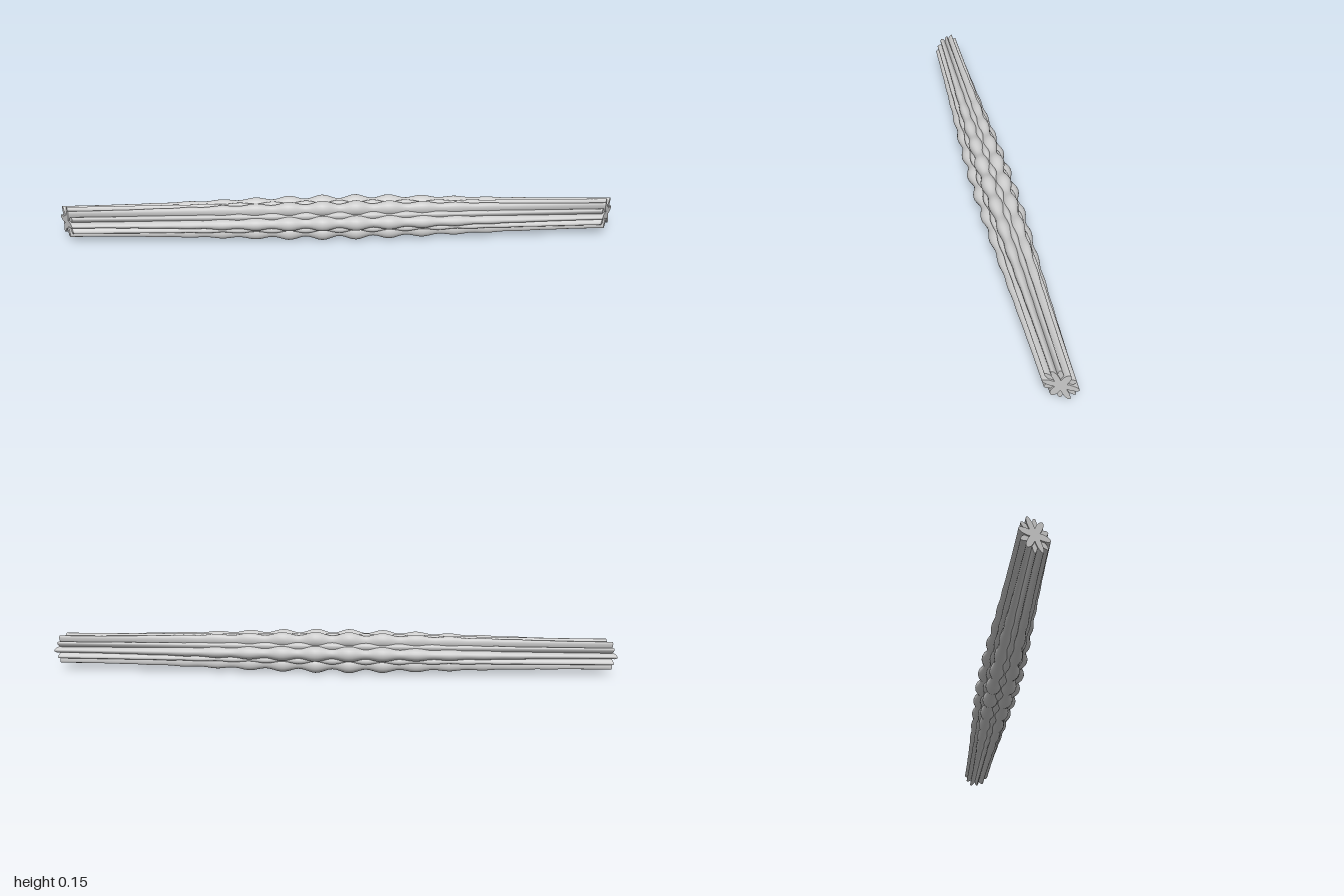
import * as THREE from 'three';

const HALF = 0.972;      // half length along the axis
const CENTRE_Y = 0.076;  // height of the axis
const PITCH = 0.12;      // distance between bumps
const MITRE = Math.tan(Math.PI / 6);

const lerp = THREE.MathUtils.lerp;

// One long rib: a cylinder along x with an elliptical, rippling section.
function ribGeometry(angle, rib) {
  const geo = new THREE.CylinderGeometry(1, 1, 2, 20, 160);
  const pos = geo.attributes.position;
  const c = Math.cos(angle), s = Math.sin(angle);
  for (let i = 0; i < pos.count; i++) {
    const u = pos.getY(i);
    const x = u * HALF;
    const swell = (1 + Math.cos(Math.PI * u)) / 2;
    const ripple = rib.phase * Math.cos((2 * Math.PI * x) / PITCH) * Math.exp(-((x / 0.42) ** 2));

    // outer reach, radial half size and half width of the section
    const reach = lerp(rib.reach[0], rib.reach[1], swell) + rib.bump * ripple;
    const depth = lerp(rib.depth[0], rib.depth[1], swell);
    const width = lerp(rib.width[0], rib.width[1], swell) + rib.bump * 0.5 * ripple;

    const r = reach - depth - depth * pos.getZ(i);
    const t = width * pos.getX(i);
    const y = r * s + t * c;
    const z = (r * c - t * s) * (1 - 0.13 * u * u);

    // the ends are mitred so that the back is longer than the front
    pos.setXYZ(i, x - Math.sign(u) * MITRE * z * Math.abs(u) ** 8, y, z);
  }
  geo.computeVertexNormals();
  return geo;
}

export function createModel() {
  const group = new THREE.Group();
  group.name = 'ribbedRod';
  const material = new THREE.MeshStandardMaterial({ color: 0xcccccc });

  // six broad ribs, and six narrow ones between them with staggered bumps
  const broad = { reach: [0.057, 0.075], depth: [0.0285, 0.028], width: [0.011, 0.024], bump: 0.007, phase: -1 };
  const narrow = { reach: [0.056, 0.061], depth: [0.028, 0.028], width: [0.01, 0.015], bump: 0.005, phase: 1 };

  for (let i = 0; i < 12; i++) {
    const isBroad = i % 2 === 0;
    const mesh = new THREE.Mesh(ribGeometry((i * Math.PI) / 6, isBroad ? broad : narrow), material);
    mesh.name = (isBroad ? 'broadRib' : 'narrowRib') + (Math.floor(i / 2) + 1);
    mesh.position.y = CENTRE_Y;
    // narrow ribs stop a little short, so the broad ones show as petals at the ends
    if (!isBroad) mesh.scale.x = 0.994;
    group.add(mesh);
  }
  return group;
}
